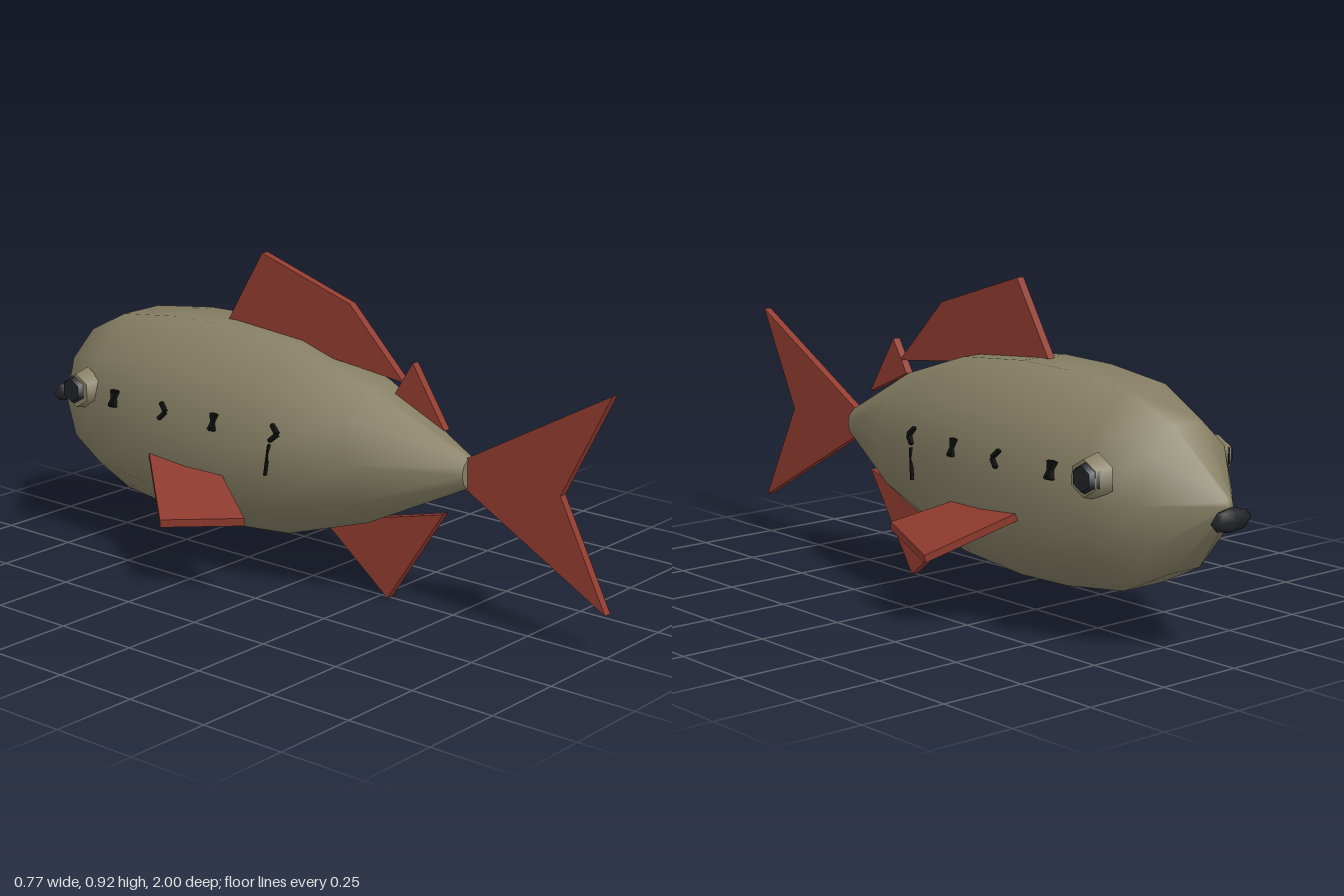
import * as THREE from 'three';

const olive = new THREE.MeshStandardMaterial({ name: 'olive skin', color: 0x867f64 });
const red = new THREE.MeshStandardMaterial({ name: 'red fin', color: 0x923c30 });
const black = new THREE.MeshStandardMaterial({ name: 'black', color: 0x212327 });
const spotBlack = new THREE.MeshStandardMaterial({ name: 'spot black', color: 0x0e0f10 });

const MID = 0.415; // height of the body axis
const RX = 0.255, RY = 0.312;

function add(group, name, geometry, material) {
  const mesh = new THREE.Mesh(geometry, material);
  mesh.name = name;
  group.add(mesh);
  return mesh;
}

const shapeOf = (points) => new THREE.Shape(points.map(([a, b]) => new THREE.Vector2(a, b)));

// Upright plate on the centre line, outlined in (z, y)
function centreFin(points) {
  const t = 0.024;
  return new THREE.ExtrudeGeometry(shapeOf(points), { depth: t, bevelEnabled: false })
    .rotateY(-Math.PI / 2).translate(t / 2, 0, 0);
}

// Side fin, outlined in (x, z), then sloped outward and down
function sideFin(side) {
  const points = [[0.18, -0.41], [0.225, -0.43], [0.385, -0.235], [0.305, 0.01], [0.22, -0.15], [0.18, -0.2]];
  const t = 0.022;
  const g = new THREE.ExtrudeGeometry(shapeOf(points.map(([x, z]) => [x * side, z])), { depth: t, bevelEnabled: false })
    .rotateX(Math.PI / 2).translate(0, t / 2, 0);
  const p = g.attributes.position;
  for (let i = 0; i < p.count; i++) {
    const slope = -0.7 * (Math.abs(p.getX(i)) - 0.225) - 0.08 * (p.getZ(i) + 0.43);
    p.setY(i, p.getY(i) + 0.33 + slope);
  }
  g.computeVertexNormals();
  return g;
}

// Six-sided disc facing sideways, narrower on its outer face
function disc(side, outer, inner, depth) {
  return new THREE.CylinderGeometry(outer, inner, depth, 6).toNonIndexed()
    .rotateY(Math.PI / 2).rotateZ(-side * Math.PI / 2);
}

export function createModel() {
  const fish = new THREE.Group();
  fish.name = 'fish';

  // Body: ten-sided tapered hull, head at -z; pairs are [scale, z]
  const profile = [
    [0, -0.975], [0.07, -0.97], [0.65, -0.825], [0.9, -0.67], [0.985, -0.46], [1, -0.28],
    [0.93, -0.03], [0.65, 0.24], [0.14, 0.55],
  ].map(([r, z]) => new THREE.Vector2(r, z));
  const hull = new THREE.LatheGeometry(profile, 10, Math.PI / 2)
    .rotateX(Math.PI / 2).scale(RX, RY, 1).translate(0, MID, 0);
  add(fish, 'body', hull, olive);
  const cap = new THREE.CircleGeometry(0.14, 10).scale(RX, RY, 1).translate(0, MID, 0.55);
  add(fish, 'tailRootCap', cap, olive);

  // Mouth
  const mouth = new THREE.SphereGeometry(1, 8, 4).scale(0.075, 0.033, 0.02).translate(0, 0.382, -0.98);
  add(fish, 'mouth', mouth, black);

  // Fins on the centre line
  add(fish, 'dorsalFin', centreFin([[0.33, 0.63], [0.14, 0.82], [-0.18, 0.92], [-0.315, 0.7]]), red);
  add(fish, 'smallBackFin', centreFin([[0.47, 0.52], [0.36, 0.69], [0.3, 0.595]]), red);
  add(fish, 'analFin', centreFin([[0.47, 0.285], [0.28, 0], [0.05, 0.18]]), red);
  add(fish, 'tailFin', centreFin([[0.53, 0.45], [1, 0.71], [0.85, 0.415], [1, 0.12], [0.53, 0.38]]), red);

  for (const side of [1, -1]) {
    const label = side > 0 ? 'left' : 'right';
    add(fish, label + 'PectoralFin', sideFin(side), red);

    // Eye with pupil
    add(fish, label + 'Eye', disc(side, 0.05, 0.062, 0.05), olive).position.set(side * 0.222, 0.478, -0.7);
    add(fish, label + 'Pupil', disc(side, 0.034, 0.047, 0.028), black).position.set(side * 0.248, 0.48, -0.707);

    // Row of small marks: bent or crossed pairs of strokes
    const spots = new THREE.Group();
    spots.name = label + 'SideMarks';
    const marks = [[0.035, 0.207, true], [-0.17, 0.229, false], [-0.355, 0.239, true], [-0.56, 0.23, false]];
    for (const [z, x, bent] of marks) {
      for (const k of [1, -1]) {
        const stroke = new THREE.BoxGeometry(0.022, bent ? 0.03 : 0.052, 0.009)
          .rotateX(k * (bent ? -0.75 : 0.35))
          .rotateZ(side * 0.26)
          .translate(side * (x - (bent ? k * 0.003 : 0)), 0.475 + (bent ? k * 0.012 : 0), z);
        add(spots, 'stroke', stroke, spotBlack);
      }
    }
    const line = new THREE.BoxGeometry(0.01, 0.09, 0.005).rotateX(0.12).rotateZ(side * 0.06)
      .translate(side * 0.222, 0.4, 0.02);
    add(spots, 'thinLine', line, spotBlack);
    fish.add(spots);
  }
  return fish;
}
